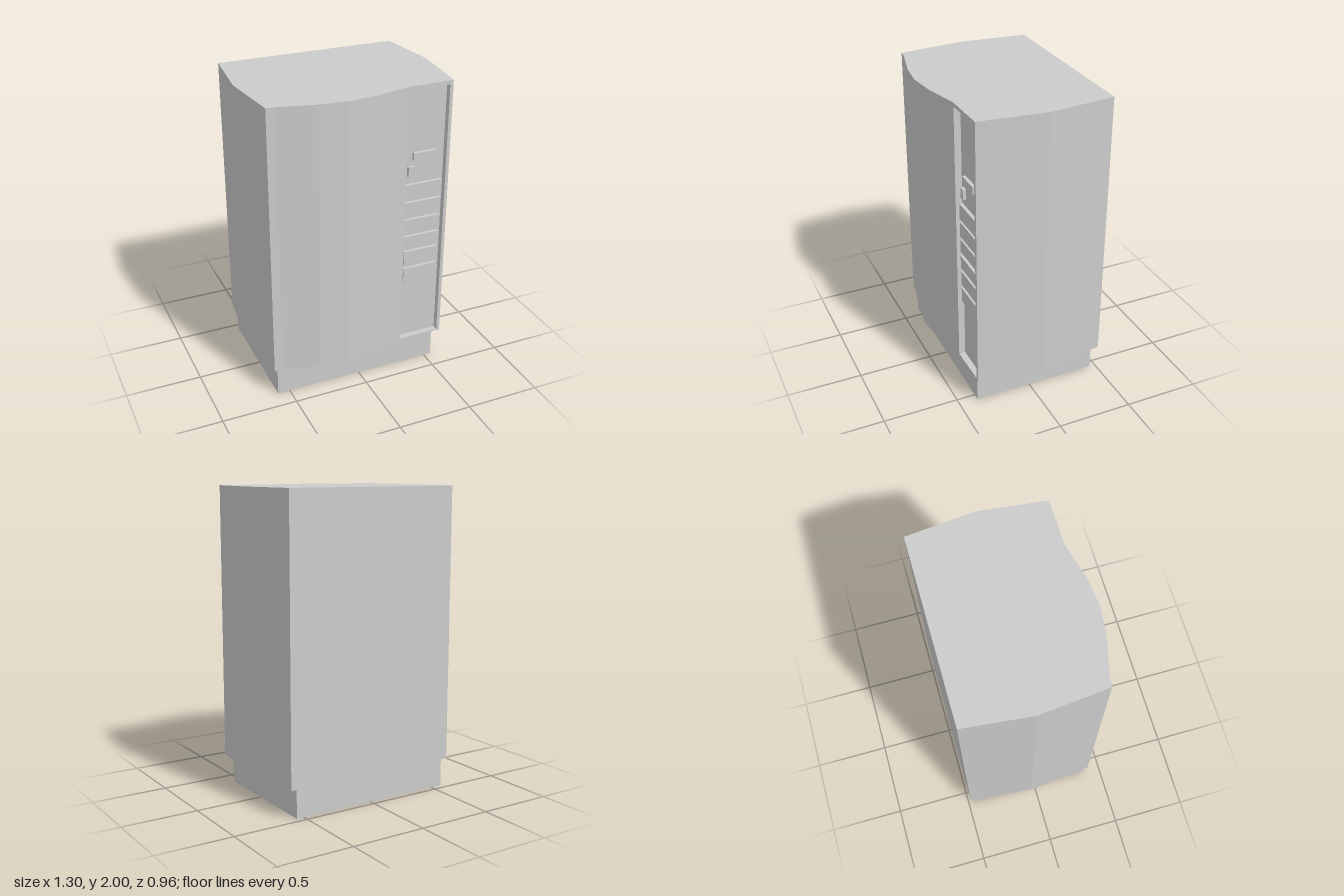
import * as THREE from 'three';

export function createModel() {
  const model = new THREE.Group();
  const material = new THREE.MeshStandardMaterial({ color: 0xcccccc, flatShading: true });

  const add = (name, geometry, parent = model) => {
    const mesh = new THREE.Mesh(geometry, material);
    mesh.name = name;
    parent.add(mesh);
    return mesh;
  };

  // Box given by its limits on each axis
  const box = (x0, x1, y0, y1, z0, z1) =>
    new THREE.BoxGeometry(x1 - x0, y1 - y0, z1 - z0)
      .translate((x0 + x1) / 2, (y0 + y1) / 2, (z0 + z1) / 2);

  // Upright prism from a plan outline of [x, z] points
  const prism = (plan, y0, y1) => {
    const shape = new THREE.Shape(plan.map(([x, z]) => new THREE.Vector2(x, -z)));
    return new THREE.ExtrudeGeometry(shape, { depth: y1 - y0, bevelEnabled: false })
      .rotateX(-Math.PI / 2).translate(0, y0, 0);
  };

  // Cabinet plan: bowed front, faceted sides, flat back
  const recessZ = 0.355;
  const front = [[-0.605, 0.393], [-0.55, 0.398], [-0.31, 0.457], [-0.13, 0.478], [0.06, 0.457], [0.3, 0.398]];
  const notch = [[0.3, recessZ], [0.58, recessZ], [0.58, 0.393]];
  const rest = [[0.602, 0.393], [0.65, -0.045], [0.602, -0.485], [-0.605, -0.485], [-0.65, -0.045]];

  // Cabinet: notched body between a full bottom and a full top slab
  const cabinet = new THREE.Group();
  cabinet.name = 'cabinet';
  model.add(cabinet);
  add('cabinetBottom', prism([...front, ...rest], 0.195, 0.205), cabinet);
  add('cabinetBody', prism([...front, ...notch, ...rest], 0.205, 1.975), cabinet);
  add('cabinetTop', prism([...front, ...rest], 1.975, 2), cabinet);

  // Plinth
  add('base', box(-0.58, 0.55, 0, 0.195, -0.46, 0.375));

  // Controls on the recessed panel: [name, x0, x1, y0, y1]
  const controls = new THREE.Group();
  controls.name = 'controlPanel';
  model.add(controls);
  [
    ['displayWindow', 0.36, 0.515, 1.503, 1.552],
    ['coinSlot', 0.327, 0.365, 1.393, 1.462],
    ['selectionButton1', 0.306, 0.568, 1.234, 1.34],
    ['selectionButton2', 0.31, 0.563, 1.111, 1.215],
    ['selectionButton3', 0.31, 0.56, 1.002, 1.092],
    ['selectionButton4', 0.31, 0.56, 0.883, 0.971],
    ['selectionButton5', 0.316, 0.56, 0.759, 0.86],
    ['selectionButton6', 0.316, 0.556, 0.635, 0.735],
  ].forEach(([name, x0, x1, y0, y1]) =>
    add(name, box(x0, x1, y0, y1, recessZ - 0.01, recessZ + 0.022), controls));

  return model;
}
